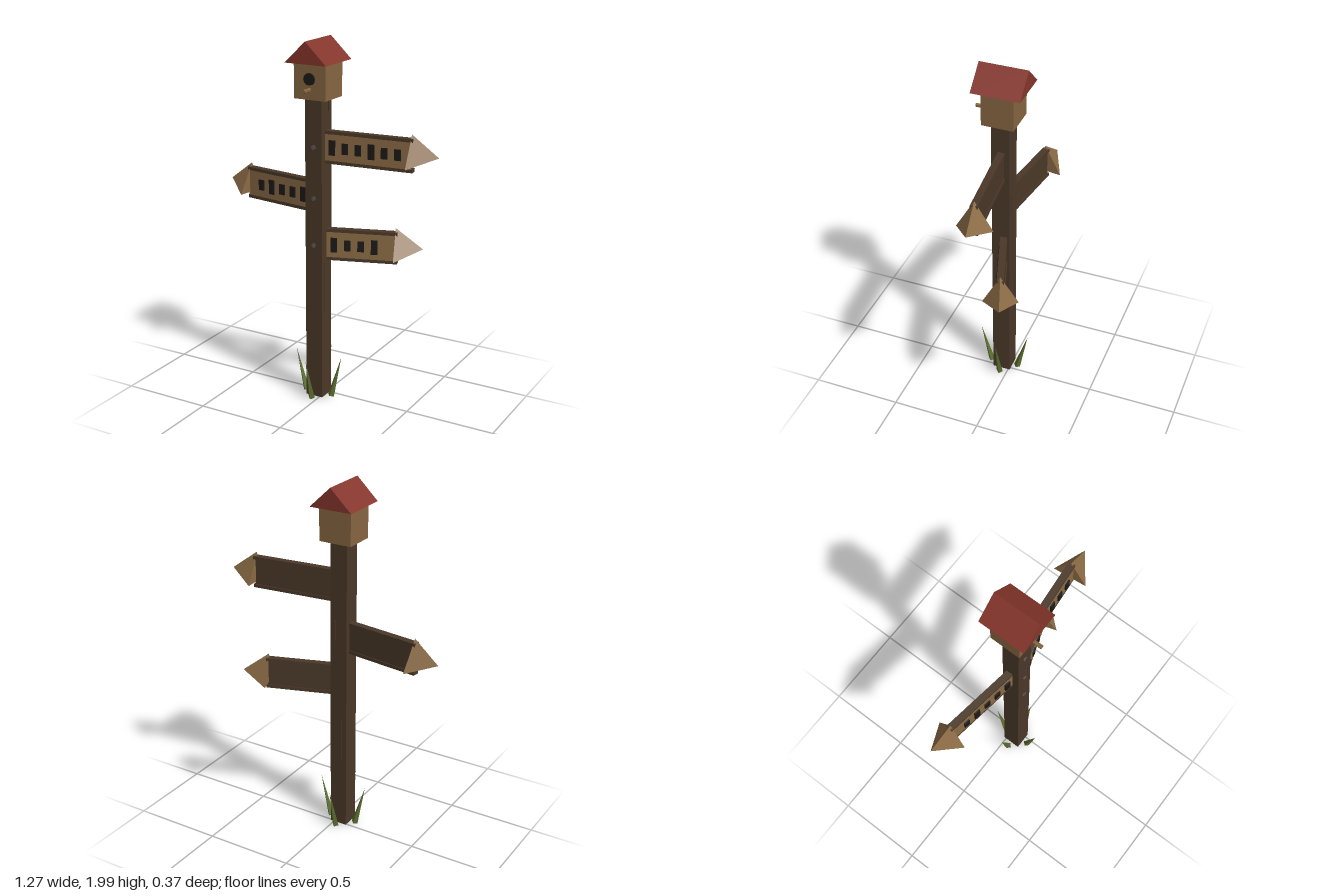
import * as THREE from 'three';

const material = (color) => new THREE.MeshStandardMaterial({ color, flatShading: true });

export function createModel() {
  const root = new THREE.Group();
  root.name = 'signpost';

  const darkWood = material(0x4a3828);
  const wood = material(0x8b6b45);
  const houseWood = material(0x866540);
  const red = material(0x85352b);
  const black = material(0x1c1a18);
  const steel = material(0x5a5a5a);
  const green = material(0x5c7030);

  const add = (parent, name, geometry, mat, x = 0, y = 0, z = 0) => {
    const mesh = new THREE.Mesh(geometry, mat);
    mesh.name = name;
    mesh.position.set(x, y, z);
    parent.add(mesh);
    return mesh;
  };
  const box = (w, h, d) => new THREE.BoxGeometry(w, h, d);

  // Everything is arranged around the axis of the post
  const post = new THREE.Group();
  post.name = 'postAssembly';
  post.position.set(-0.03, 0, 0.04);
  root.add(post);

  add(post, 'post', box(0.1, 1.69, 0.102), darkWood, 0, 0.855, 0);

  // Thin raised grain strips on the post
  for (const [x, y, z, h] of [
    [0.05, 1.66, -0.02, 0.07], [0.05, 0.66, 0.02, 0.28],
    [-0.02, 0.55, -0.051, 0.24], [0.02, 1.2, -0.051, 0.12],
  ]) add(post, 'grainStrip', box(0.008, h, 0.008), darkWood, x, y, z);

  // Sign arms: height, side, swing towards the back, length, number of marks
  const addSign = (y, dir, swing, length, marks) => {
    const sign = new THREE.Group();
    sign.name = dir > 0 ? 'leftSign' : 'rightSign';
    sign.position.y = y;
    sign.rotation.y = dir * swing;
    post.add(sign);

    const mid = dir * length / 2;
    add(sign, 'board', box(length - 0.012, 0.15, 0.028), darkWood, mid, 0, 0);
    add(sign, 'facePanel', box(length - 0.015, 0.142, 0.006), wood, mid, 0, 0.016);
    for (const side of [-1, 1])
      add(sign, 'rail', box(length, 0.018, 0.038), darkWood, mid, side * 0.079, 0);

    for (let i = 0; i < marks; i++) {
      const h = i % 3 === 0 ? 0.08 : 0.058;
      add(sign, 'mark', box(0.035, h, 0.012), black, dir * (0.088 + i * 0.073), 0, 0.021);
    }

    // Three-sided arrowhead with one edge upwards
    const head = new THREE.ConeGeometry(0.11, 0.148, 3, 1, false, -dir * Math.PI / 2);
    head.rotateZ(-dir * Math.PI / 2);
    add(sign, 'arrowhead', head, wood, dir * (length - 0.012 + 0.074), 0, 0);

    // Nail head on the front of the post
    const nail = new THREE.CylinderGeometry(0.013, 0.013, 0.01, 6).rotateX(Math.PI / 2);
    add(post, 'nail', nail, steel, 0, y, 0.051);
  };
  addSign(1.438, 1, 0.097, 0.532, 6);
  addSign(1.16, -1, 0.14, 0.48, 5);
  addSign(0.898, 1, 0.325, 0.43, 4);

  // Birdhouse
  const house = new THREE.Group();
  house.name = 'birdhouse';
  post.add(house);
  add(house, 'houseBody', box(0.187, 0.19, 0.174), houseWood, 0, 1.79, 0);
  const gable = new THREE.Shape([
    new THREE.Vector2(-0.122, 0), new THREE.Vector2(0.122, 0), new THREE.Vector2(0, 0.116),
  ]);
  const roof = new THREE.ExtrudeGeometry(gable, { depth: 0.264, bevelEnabled: false });
  add(house, 'roof', roof, red, 0, 1.884, -0.132);
  const hole = new THREE.CylinderGeometry(0.032, 0.032, 0.014, 12).rotateX(Math.PI / 2);
  add(house, 'entranceHole', hole, black, 0, 1.803, 0.09);
  const perch = new THREE.CylinderGeometry(0.011, 0.011, 0.075, 6).rotateX(Math.PI / 2);
  add(house, 'perch', perch, houseWood, 0, 1.747, 0.113);

  // Grass blades leaning outwards on each side of the post
  for (let i = 0; i < 4; i++) {
    const tuft = new THREE.Group();
    tuft.name = 'grassTuft';
    tuft.rotation.y = i * Math.PI / 2;
    post.add(tuft);
    const blade = new THREE.ConeGeometry(0.019, 0.25, 4).translate(0, 0.125, 0);
    add(tuft, 'grassBlade', blade, green, 0.079, 0.011, 0).rotation.z = -0.26;
  }

  return root;
}
